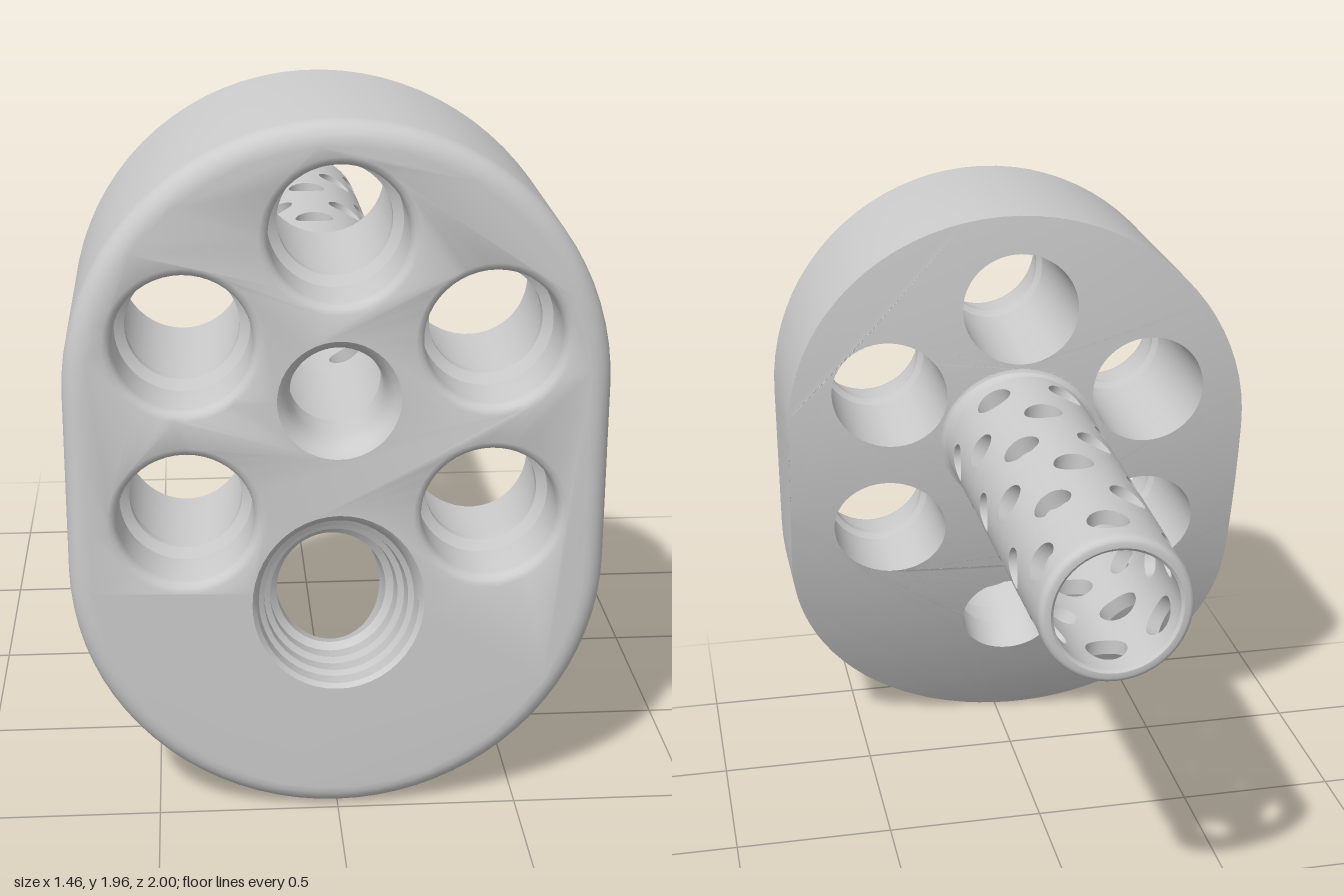
import * as THREE from 'three';
import { toCreasedNormals } from 'three/addons/utils/BufferGeometryUtils.js';

const V = (x, y, z) => new THREE.Vector3(x, y, z);
const SEG = 48;
const HUB = 1.215; // height of the tube axis
const CELL = 0.205; // length of one row of tube holes
const JOIN = 0.2525; // z where the perforated part of the tube starts
const BORE = 0.175;
const tubeRadius = z => 0.2135 + 0.0155 * (z + 1);

// Curved, slightly twisted back face of the block
const back = (x, y) =>
  0.27 + 0.146 * Math.pow(Math.abs(1.75 - y), 2.3) + 0.137 * x + 0.113 * x * x;

// Skin a series of closed rings
function loft(tris, rings) {
  for (let k = 0; k + 1 < rings.length; k++) {
    const a = rings[k], b = rings[k + 1], n = a.length;
    for (let i = 0; i < n; i++) {
      const j = (i + 1) % n;
      tris.push(a[i], b[i], a[j], a[j], b[i], b[j]);
    }
  }
}

// Ring in a plane of constant z, or lying on a surface when z is a function
function ring(x, y, r, z, stretch = 1) {
  return Array.from({ length: SEG }, (_, i) => {
    const t = (i / SEG) * Math.PI * 2;
    const px = x + r * Math.cos(t), py = y + r * stretch * Math.sin(t);
    return V(px, py, typeof z === 'function' ? z(px, py) : z);
  });
}

// Stadium outline of the block, moved inwards by inset
function outline(inset, z) {
  const r = 0.73 - inset, pts = [];
  for (const side of [1, -1]) {
    for (let i = 0; i < 8; i++) pts.push([side * r, 0.98 + side * (-0.25 + i / 16)]);
    for (let i = 0; i < 40; i++) {
      const t = (i / 40) * Math.PI;
      pts.push([side * r * Math.cos(t), 0.98 + side * (0.25 + r * Math.sin(t))]);
    }
  }
  return pts.map(([x, y]) => V(x, y, typeof z === 'function' ? z(x, y) : z));
}

// Triangles of a face with holes, facing +z
function face(contour, holes) {
  const flat = pts => pts.map(p => new THREE.Vector2(p.x, p.y));
  const shape = new THREE.Shape(flat(contour));
  shape.holes = holes.map(h => new THREE.Path(flat(h)));
  const geo = new THREE.ShapeGeometry(shape).toNonIndexed();
  const p = geo.attributes.position;
  return Array.from({ length: p.count }, (_, i) => V(p.getX(i), p.getY(i), 0));
}

function split(t) {
  const out = [];
  for (let i = 0; i < t.length; i += 3) {
    const [a, b, c] = [t[i], t[i + 1], t[i + 2]];
    const mid = (p, q) => p.clone().add(q).multiplyScalar(0.5);
    const ab = mid(a, b), bc = mid(b, c), ca = mid(c, a);
    out.push(a, ab, ca, ab, b, bc, ca, bc, c, ab, bc, ca);
  }
  return out;
}

function mesh(name, tris) {
  // Enlarged while smoothing so that close vertices stay distinct
  let geo = new THREE.BufferGeometry().setFromPoints(tris);
  geo.scale(20, 20, 20);
  geo = toCreasedNormals(geo, 0.6);
  geo.scale(0.05, 0.05, 0.05);
  const m = new THREE.Mesh(geo, new THREE.MeshStandardMaterial({ color: 0xcccccc }));
  m.name = name;
  return m;
}

function createBlock() {
  const tris = [], frontHoles = [], backHoles = [];
  const drill = rings => {
    loft(tris, [...rings].reverse());
    frontHoles.push(rings[0]);
  };

  // Rounded front edge and side wall
  const rings = [];
  for (let i = 0; i <= 6; i++) {
    const t = (i / 6) * Math.PI / 2;
    rings.push(outline(0.06 * (1 - Math.sin(t)), 0.94 + 0.06 * Math.cos(t)));
  }
  rings.push(outline(0, back));
  loft(tris, rings);

  // Five straight stepped sockets
  const socket = [[0.21, 1], [0.196, 0.994], [0.188, 0.982], [0.185, 0.965],
    [0.182, 0.83], [0.155, 0.81], [0.155, 0.78], [0.172, 0.765]];
  for (const [x, y] of [[0, 1.66], [0.41, 1.375], [-0.41, 1.375], [0.41, 0.88], [-0.41, 0.88]]) {
    const end = ring(x, y, 0.18, back);
    drill([...socket.map(([r, z]) => ring(x, y, r, z)), end]);
    backHoles.push(end);
  }

  // Slanted stepped socket at the bottom
  const slanted = [[0.235, 1], [0.222, 0.985], [0.215, 0.92], [0.2, 0.91], [0.197, 0.83],
    [0.18, 0.82], [0.178, 0.73], [0.157, 0.71]];
  const exit = ring(0, 0.487, 0.155, back, 1.04);
  drill([...slanted.map(([r, z]) => ring(0, 0.63 - 0.3 * (1 - z), r, z, 1.1)), exit]);
  backHoles.push(exit);

  // Central bore leading into the tube
  const bore = [[0.165, 1], [0.148, 0.985], [0.135, 0.955], [0.127, 0.91], [0.127, 0.8],
    [BORE, 0.77], [BORE, JOIN]];
  drill(bore.map(([r, z]) => ring(0, HUB, r, z)));

  // Filleted collar where the tube leaves the block
  const collar = [[0.25, 0], [0.24, 0.006], [0.235, 0.018]].map(([r, d]) =>
    ring(0, HUB, r, (x, y) => Math.max(back(x, y) - d, JOIN + 0.002)));
  loft(tris, [...collar, ring(0, HUB, tubeRadius(JOIN), JOIN)]);
  backHoles.push(collar[0]);

  // Flat front face and curved back face
  for (const p of face(outline(0.06, 1), frontHoles)) tris.push(p.setZ(1));
  const rear = split(split(split(face(outline(0, back), backHoles))));
  for (let i = 0; i < rear.length; i += 3) {
    for (const k of [0, 2, 1]) {
      const p = rear[i + k];
      tris.push(V(p.x, p.y, back(p.x, p.y)));
    }
  }
  return mesh('block', tris);
}

function createTube() {
  const tris = [];
  const polar = (t, r, z) => V(r * Math.cos(t), HUB + r * Math.sin(t), z);
  const square = a => {
    const w = Math.atan2(Math.sin(a), Math.cos(a));
    return THREE.MathUtils.clamp(2 - 4 * Math.abs(w) / Math.PI, -1, 1);
  };

  // One cell of wall around each hole, six per row, alternate rows staggered
  for (let row = 0; row < 6; row++) {
    const zc = JOIN - CELL * (row + 0.5);
    for (let c = 0; c < 6; c++) {
      const tc = (c + (row % 2) / 2) * Math.PI / 3;
      const cellRing = (s, inner) => Array.from({ length: 32 }, (_, i) => {
        const a = (i / 32) * Math.PI * 2;
        const z = zc + THREE.MathUtils.lerp(0.058 * Math.sin(a), square(a - Math.PI / 2) * CELL / 2, s);
        const r = inner ? BORE : tubeRadius(z);
        const t = THREE.MathUtils.lerp(Math.asin(0.058 * Math.cos(a) / r), square(a) * Math.PI / 6, s);
        return polar(tc + t, r, z);
      });
      const steps = [1, 0.66, 0.33, 0];
      loft(tris, [...steps.map(s => cellRing(s, true)),
        ...steps.map(s => cellRing(1 - s, false))]);
    }
  }

  // Rounded rim at the tip
  const z0 = JOIN - 6 * CELL, R = tubeRadius(z0);
  const rim = [[R, z0], [R - 0.003, -0.99], [R - 0.009, -0.997], [R - 0.016, -1],
    [BORE + 0.008, -1], [BORE, -0.993], [BORE, z0]];
  loft(tris, rim.map(([r, z]) => ring(0, HUB, r, z)));
  return mesh('perforatedTube', tris);
}

export function createModel() {
  const group = new THREE.Group();
  group.name = 'perforatedTubeBlock';
  group.add(createBlock(), createTube());
  return group;
}
